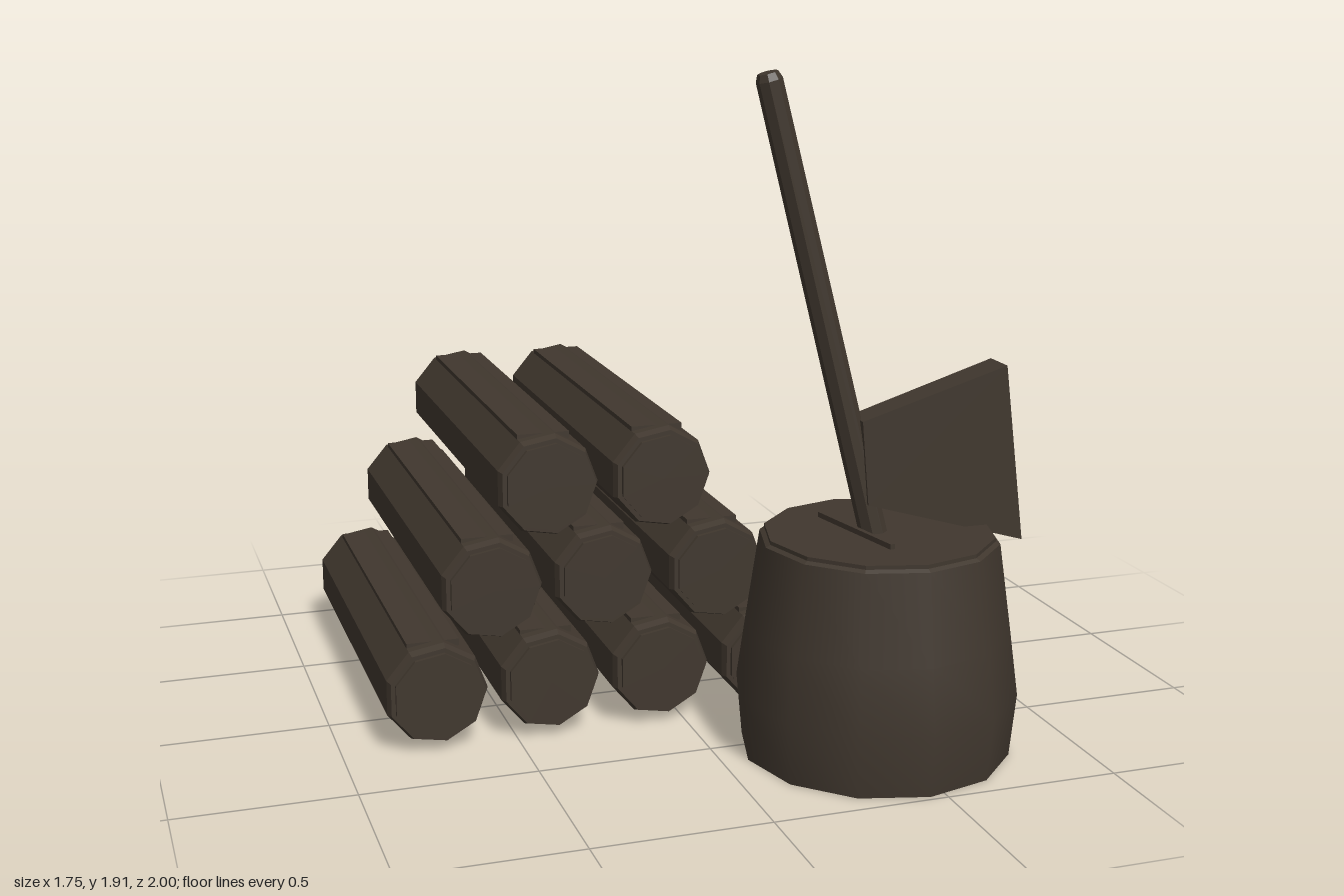
import * as THREE from 'three';

const wood = new THREE.MeshStandardMaterial({ color: 0x40372e });
wood.name = 'dark wood';

const V = (x, y) => new THREE.Vector2(x, y);

function part(name, geometry, parent) {
  const mesh = new THREE.Mesh(geometry, wood);
  mesh.name = name;
  parent.add(mesh);
  return mesh;
}

// Give every face its own normal
function faceted(geometry) {
  const g = geometry.index ? geometry.toNonIndexed() : geometry;
  g.computeVertexNormals();
  return g;
}

// Nine-sided log along z with bevelled ends, raised end caps and a bark plate
function makeLog(x, y, back, front) {
  const log = new THREE.Group();
  log.name = 'log';
  const h = (front - back) / 2;
  const end = [V(0, h), V(0.127, h), V(0.127, h - 0.012), V(0.14, h - 0.012), V(0.149, h - 0.035)];
  const profile = [...end.map(p => V(p.x, -p.y)), ...end.reverse()];
  const body = new THREE.LatheGeometry(profile, 9, Math.PI / 2);
  body.rotateX(Math.PI / 2);
  part('logBody', faceted(body), log);
  part('barkPlate', new THREE.BoxGeometry(0.15, 0.02, 2 * h - 0.13), log).position.y = 0.132;
  log.position.set(x, y, (front + back) / 2);
  return log;
}

// Chopping block: smooth barrel-shaped sides, flat cut top and a crack
function makeStump() {
  const stump = new THREE.Group();
  stump.name = 'stump';
  const sides = [V(0.38, 0), V(0.397, 0.18), V(0.372, 0.36), V(0.335, 0.615)];
  part('stumpSides', new THREE.LatheGeometry(sides, 12), stump);
  const ends = [[V(0, 0), V(0.38, 0)], [V(0.335, 0.615), V(0.322, 0.622), V(0.322, 0.633), V(0, 0.633)]];
  for (const p of ends) part('stumpCut', faceted(new THREE.LatheGeometry(p, 12)), stump);
  const crack = part('crack', new THREE.BoxGeometry(0.014, 0.022, 0.35), stump);
  crack.position.set(-0.07, 0.637, 0);
  crack.rotation.y = 0.2;
  stump.position.set(0.455, 0, 0.605);
  return stump;
}

function makeAxe() {
  const axe = new THREE.Group();
  axe.name = 'axe';

  // Handle leaning to the right, with a softened end
  const low = V(0.455, 0.57), high = V(0.11, 1.902);
  const length = low.distanceTo(high);
  const grip = [V(0, 0), V(0.039, 0), V(0.036, length - 0.02), V(0.028, length), V(0, length)];
  const handle = part('handle', faceted(new THREE.LatheGeometry(grip, 8, Math.PI / 8)), axe);
  handle.position.set(low.x, low.y, 0);
  handle.rotation.z = Math.atan2(low.x - high.x, high.y - low.y);

  // Flared head: the corners of a box moved to the blade outline
  const head = new THREE.BoxGeometry(1, 1, 1);
  const p = head.attributes.position;
  for (let i = 0; i < p.count; i++) {
    const edge = p.getX(i) > 0, top = p.getY(i) > 0;
    const [x, y] = edge ? (top ? [0.81, 1.087] : [0.876, 0.58]) : (top ? [0.383, 0.958] : [0.405, 0.72]);
    p.setXYZ(i, x, y, Math.sign(p.getZ(i)) * (edge ? 0.05 : 0.043));
  }
  part('axeHead', faceted(head), axe);
  axe.position.z = 0.6;
  return axe;
}

export function createModel() {
  const model = new THREE.Group();
  model.name = 'woodpileAndStump';

  // Stacked rows of logs: back and front end of each, from right to left
  const rows = [
    [[-0.925, 0.29], [-0.995, 0.28], [-1, 0.28], [-0.92, 0.29]],
    [[-0.955, 0.28], [-0.965, 0.265], [-0.935, 0.3]],
    [[-0.935, 0.285], [-0.935, 0.295]],
  ];
  const pile = new THREE.Group();
  pile.name = 'logPile';
  rows.forEach((row, r) => row.forEach(([back, front], i) =>
    pile.add(makeLog(-0.733 + 0.165 * r + 0.331 * i, 0.166 + 0.289 * r, back, front))));

  model.add(pile, makeStump(), makeAxe());
  return model;
}
